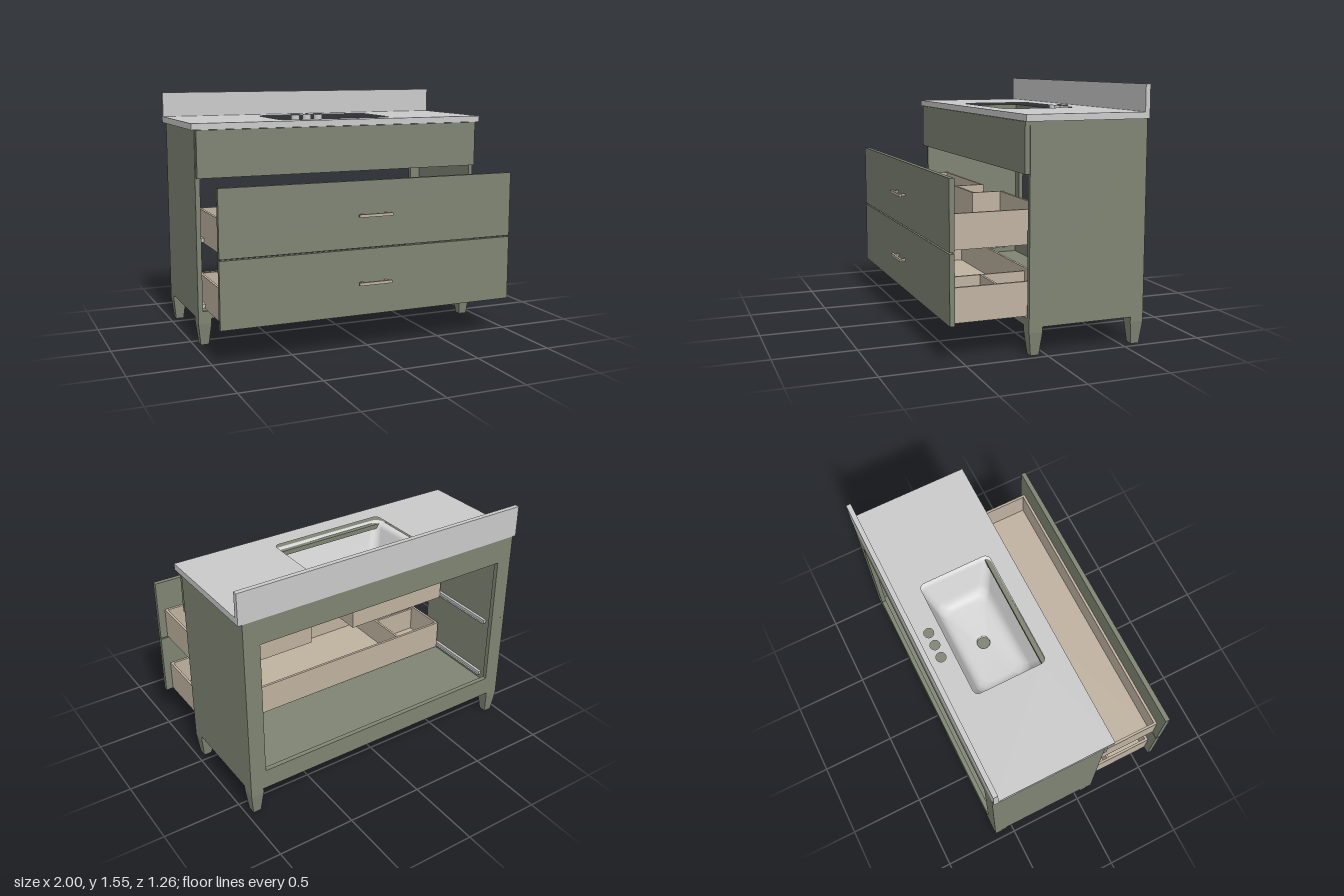
import * as THREE from 'three';

const mat = (name, color, side = THREE.FrontSide) => {
  const m = new THREE.MeshStandardMaterial({ color, side });
  m.name = name;
  return m;
};

export function createModel() {
  const green = mat('sage paint', 0x7f8473);
  const wood = mat('pale wood', 0xbfb2a0);
  const stone = mat('grey stone', 0xcacaca);
  const ceramic = mat('sink ceramic', 0xd6d6d6, THREE.DoubleSide);
  const metal = mat('slide metal', 0xc4c4c4);
  const root = new THREE.Group();
  root.name = 'vanity';

  const add = (name, geo, material, parent = root) => {
    const mesh = new THREE.Mesh(geo, material);
    mesh.name = name;
    parent.add(mesh);
    return mesh;
  };
  // Box given by its minimum and maximum on each axis
  const box = (name, material, x0, x1, y0, y1, z0, z1, parent) => {
    const geo = new THREE.BoxGeometry(x1 - x0, y1 - y0, z1 - z0);
    geo.translate((x0 + x1) / 2, (y0 + y1) / 2, (z0 + z1) / 2);
    return add(name, geo, material, parent);
  };
  // The same box on both sides of x = 0
  const pair = (name, material, x0, x1, y0, y1, z0, z1, parent) => {
    box(name + 'Left', material, x0, x1, y0, y1, z0, z1, parent);
    box(name + 'Right', material, -x1, -x0, y0, y1, z0, z1, parent);
  };
  // Points of a rounded rectangle, half sizes w and d, centred on (0, cz)
  const roundRect = (w, d, r, cz) => {
    const pts = [];
    const signs = [[1, 1], [-1, 1], [-1, -1], [1, -1]];
    signs.forEach(([sx, sz], k) => {
      for (let j = 0; j <= 6; j++) {
        const a = (k + j / 6) * Math.PI / 2;
        pts.push(new THREE.Vector2(sx * (w - r) + r * Math.cos(a), cz + sz * (d - r) + r * Math.sin(a)));
      }
    });
    return pts;
  };
  // Horizontal slab from an outline in x and z
  const slab = (name, material, outline, holes, y0, y1, parent) => {
    const flip = (pts) => pts.map((p) => new THREE.Vector2(p.x, -p.y));
    const shape = new THREE.Shape(flip(outline));
    holes.forEach((h) => shape.holes.push(new THREE.Path(flip(h))));
    const geo = new THREE.ExtrudeGeometry(shape, { depth: y1 - y0, bevelEnabled: false });
    geo.rotateX(-Math.PI / 2).translate(0, y0, 0);
    return add(name, geo, material, parent);
  };
  const v = (x, z) => new THREE.Vector2(x, z);

  // Countertop with sink opening and three tap holes
  const taps = [-0.085, 0, 0.085].map((x) =>
    roundRect(0.03, 0.03, 0.03, -0.52).map((p) => v(p.x + x, p.y)));
  slab('countertop', stone, [v(-1, -0.63), v(1, -0.63), v(1, 0.145), v(-1, 0.145)],
    [roundRect(0.388, 0.233, 0.035, -0.21), ...taps], 1.35, 1.39);
  box('backsplash', stone, -1, 1, 1.39, 1.55, -0.63, -0.6);

  // Sink basin lofted from rim to drain
  const rings = [
    [0.43, 0.27, 0.06, 1.348], [0.395, 0.24, 0.05, 1.348], [0.385, 0.23, 0.05, 1.32],
    [0.335, 0.185, 0.06, 1.14], [0.32, 0.17, 0.06, 1.1], [0.295, 0.145, 0.06, 1.077],
    [0.26, 0.115, 0.06, 1.068], [0.045, 0.045, 0.045, 1.055], [0.04, 0.04, 0.04, 1.053],
    [0.04, 0.04, 0.04, 1.03],
  ];
  const pos = [];
  const idx = [];
  const n = 28;
  rings.forEach(([w, d, r, y], i) => {
    roundRect(w, d, r, -0.21).forEach((p) => pos.push(p.x, y, p.y));
    if (i === 0) return;
    for (let j = 0; j < n; j++) {
      const a = (i - 1) * n + j, b = (i - 1) * n + (j + 1) % n;
      idx.push(a, b, a + n, b, b + n, a + n);
    }
  });
  const basin = new THREE.BufferGeometry();
  basin.setAttribute('position', new THREE.Float32BufferAttribute(pos, 3));
  // Reverse the winding so the inner face is the front
  for (let i = 0; i < idx.length; i += 3) [idx[i + 1], idx[i + 2]] = [idx[i + 2], idx[i + 1]];
  basin.setIndex(idx);
  basin.computeVertexNormals();
  add('sinkBasin', basin, ceramic);

  // Carcass
  pair('sidePanel', green, 0.945, 0.975, 0.17, 1.35, -0.63, 0.11);
  box('floorPanel', green, -0.945, 0.945, 0.17, 0.2, -0.6, 0.11);
  box('bottomFrontRail', green, -0.945, 0.945, 0.2, 0.218, 0.08, 0.11);
  box('backTopRail', green, -0.945, 0.945, 1.19, 1.35, -0.63, -0.6);
  box('backBottomRail', green, -0.945, 0.945, 0.17, 0.3, -0.63, -0.6);
  pair('backStile', green, 0.87, 0.945, 0.3, 1.19, -0.63, -0.6);
  box('apron', green, -0.97, 0.97, 1.055, 1.348, 0.11, 0.14);
  box('apronRail', green, -0.945, 0.945, 1.055, 1.075, 0.04, 0.11);
  box('topFrontRail', green, -0.945, 0.945, 1.315, 1.345, 0, 0.11);
  pair('topCleat', green, 0.85, 0.945, 1.315, 1.345, -0.24, 0);

  // Tapered legs: short square block above a taper
  const legGeo = new THREE.CylinderGeometry(0.042 * Math.SQRT2, 0.026 * Math.SQRT2, 0.14, 4, 1);
  const legFlat = legGeo.rotateY(Math.PI / 4).toNonIndexed();
  legFlat.computeVertexNormals();
  for (const x of [-0.933, 0.933]) {
    for (const z of [-0.588, 0.068]) {
      add('leg', legFlat, green).position.set(x, 0.07, z);
      box('legBlock', green, x - 0.042, x + 0.042, 0.14, 0.17, z - 0.042, z + 0.042);
    }
  }

  // Pulled-out drawers
  const X = 0.922, T = 0.016, BACK = -0.04, FRONT = 0.555;
  const drawer = (name, y0, notched) => {
    const g = new THREE.Group();
    g.name = name;
    root.add(g);
    const top = y0 + 0.205;
    const wall = (label, ...b) => box(label, wood, b[0], b[1], y0, top, b[2], b[3], g);
    box('drawerFront', green, -0.97, 0.97, y0 - 0.002, y0 + 0.408, FRONT, 0.585, g);
    wall('boxFront', -X + T, X - T, FRONT - T, FRONT);
    wall('boxSideLeft', X - T, X, BACK, FRONT);
    wall('boxSideRight', -X, -X + T, BACK, FRONT);
    const outline = [v(-X + T, FRONT - T), v(X - T, FRONT - T), v(X - T, BACK + T)];
    if (notched) {
      // Plumbing recess in the back
      const N = 0.165, Z = 0.15;
      pair('boxBack', wood, N, X - T, y0, top, BACK, BACK + T, g);
      pair('recessSide', wood, N, N + T, y0, top, BACK + T, Z, g);
      wall('recessFront', -N - T, N + T, Z, Z + T);
      outline.push(v(N + T, BACK + T), v(N + T, Z + T), v(-N - T, Z + T), v(-N - T, BACK + T));
    } else {
      wall('boxBack', -X + T, X - T, BACK, BACK + T);
      pair('divider', wood, 0.575, 0.59, y0 + 0.01, top - 0.02, BACK + T, FRONT - T, g);
      pair('crossDivider', wood, 0.59, X - T, y0 + 0.01, top - 0.02, 0.25, 0.265, g);
    }
    outline.push(v(-X + T, BACK + T));
    slab('boxBottom', wood, outline, [], y0 + 0.004, y0 + 0.018, g);

    // Bar handle
    const hy = y0 + 0.2;
    box('handleBar', wood, -0.11, 0.11, hy - 0.009, hy + 0.009, 0.614, 0.629, g);
    pair('handlePost', wood, 0.073, 0.087, hy - 0.007, hy + 0.007, 0.585, 0.614, g);

    // Runners on the cabinet sides
    pair('runner', metal, 0.925, 0.945, y0 + 0.01, y0 + 0.035, -0.5, 0.1, g);
    pair('runnerLip', metal, 0.915, 0.925, y0 + 0.01, y0 + 0.016, -0.5, BACK, g);
  };
  drawer('upperDrawer', 0.645, true);
  drawer('lowerDrawer', 0.227, false);

  return root;
}
